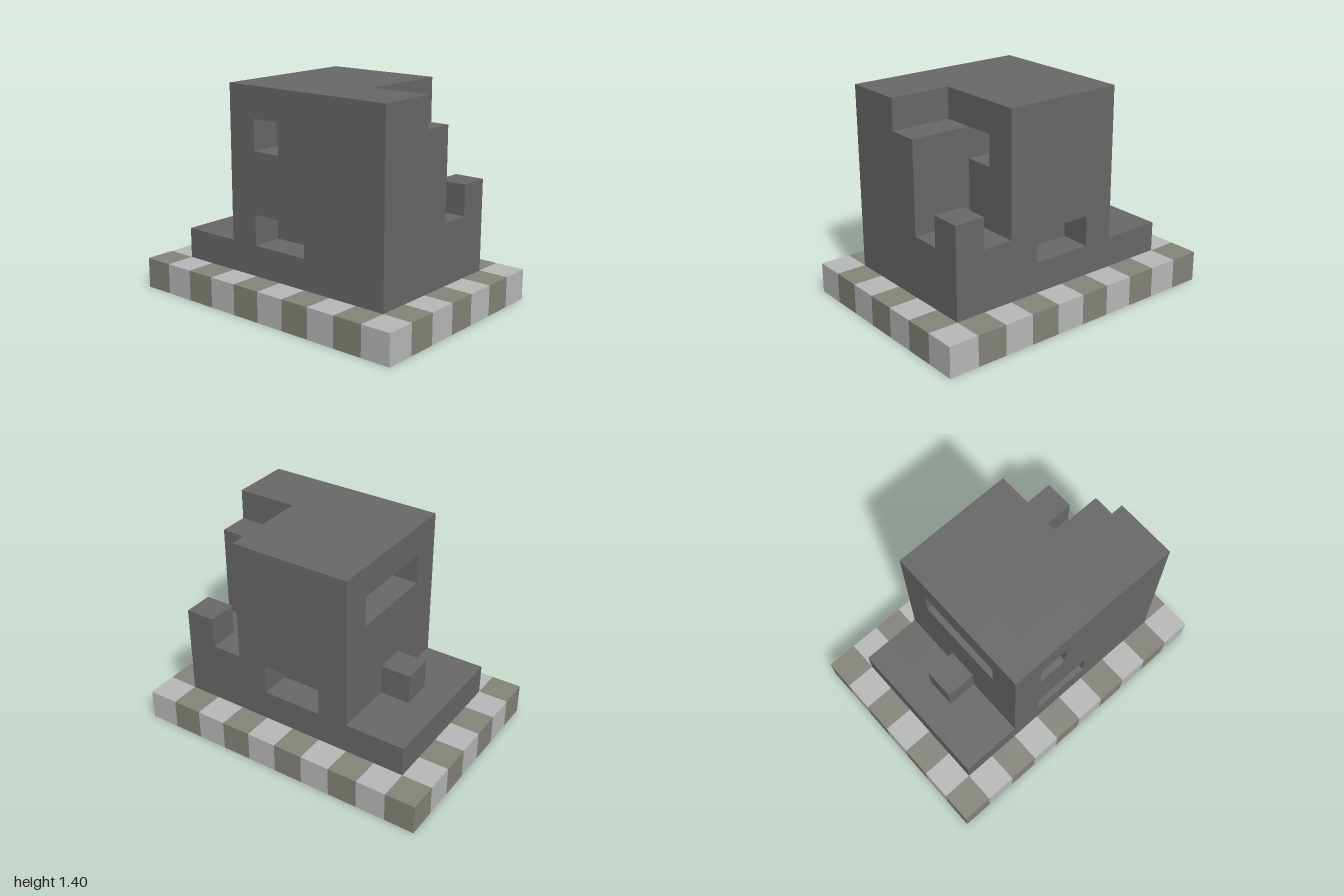
import * as THREE from 'three';
import { mergeGeometries } from 'three/addons/utils/BufferGeometryUtils.js';

const S = 0.2; // cell size; the layout is 10 x 7 x 7 cells (x, y, z)
const NX = 10, NY = 7, NZ = 7;

// Each block is [x0, x1, y0, y1, z0, z1] in cells, upper bounds exclusive
const inside = (b, x, y, z) =>
  x >= b[0] && x < b[1] && y >= b[2] && y < b[3] && z >= b[4] && z < b[5];

const materials = {
  paleStone: new THREE.MeshStandardMaterial({ color: 0xb7b9b8 }),
  oliveStone: new THREE.MeshStandardMaterial({ color: 0x84847b }),
  darkStone: new THREE.MeshStandardMaterial({ color: 0x686868 }),
};
for (const [name, m] of Object.entries(materials)) m.name = name;

const slab = [0, 10, 0, 1, 0, 7];
const parts = [
  // Checkered base slab
  { name: 'basePaleTiles', material: 'paleStone', add: [slab], tile: 1 },
  { name: 'baseOliveTiles', material: 'oliveStone', add: [slab], tile: 0 },
  // Main building with its broken corner and window recesses
  {
    name: 'tower', material: 'darkStone', add: [[3, 9, 1, 7, 1, 6]],
    cut: [
      [7, 9, 6, 7, 1, 4], // upper part of the broken corner
      [7, 9, 3, 6, 1, 3], // lower part of the broken corner
      [4, 5, 5, 6, 5, 6], // upper front window
      [4, 6, 2, 3, 5, 6], // lower front window
      [4, 6, 2, 3, 1, 2], // back window
      [3, 4, 5, 6, 2, 5], // wide side window
      [6, 7, 5, 6, 2, 3], // window above the broken corner
    ],
  },
  // Remaining piece of the broken corner
  { name: 'cornerStub', material: 'darkStone', add: [[8, 9, 3, 4, 1, 2]] },
  // Low terrace and the block standing on it
  { name: 'terrace', material: 'darkStone', add: [[1, 3, 1, 2, 1, 6]] },
  { name: 'terraceBlock', material: 'darkStone', add: [[2, 3, 2, 3, 3, 4]] },
];

const has = (p, x, y, z) =>
  p.add.some((b) => inside(b, x, y, z)) &&
  !(p.cut || []).some((b) => inside(b, x, y, z)) &&
  (p.tile === undefined || (x + z) % 2 === p.tile);
const filled = (x, y, z) => parts.some((p) => has(p, x, y, z));

// Six cell faces: outward direction and the turn that aims a plane that way
const H = Math.PI / 2;
const faces = [
  [[1, 0, 0], [0, H, 0]], [[-1, 0, 0], [0, -H, 0]],
  [[0, 1, 0], [-H, 0, 0]], [[0, -1, 0], [H, 0, 0]],
  [[0, 0, 1], [0, 0, 0]], [[0, 0, -1], [0, 2 * H, 0]],
];

// Outer skin of one part: only the cell faces that touch open air
function skin(part) {
  const quads = [];
  for (let x = 0; x < NX; x++)
    for (let y = 0; y < NY; y++)
      for (let z = 0; z < NZ; z++) {
        if (!has(part, x, y, z)) continue;
        for (const [d, r] of faces) {
          if (filled(x + d[0], y + d[1], z + d[2])) continue;
          const q = new THREE.PlaneGeometry(S, S);
          q.rotateX(r[0]).rotateY(r[1]);
          q.translate(
            (x + 0.5 - NX / 2 + d[0] / 2) * S,
            (y + 0.5 + d[1] / 2) * S,
            (z + 0.5 - NZ / 2 + d[2] / 2) * S
          );
          quads.push(q);
        }
      }
  return mergeGeometries(quads);
}

export function createModel() {
  const group = new THREE.Group();
  group.name = 'ruinedTower';
  for (const part of parts) {
    const mesh = new THREE.Mesh(skin(part), materials[part.material]);
    mesh.name = part.name;
    group.add(mesh);
  }
  return group;
}
